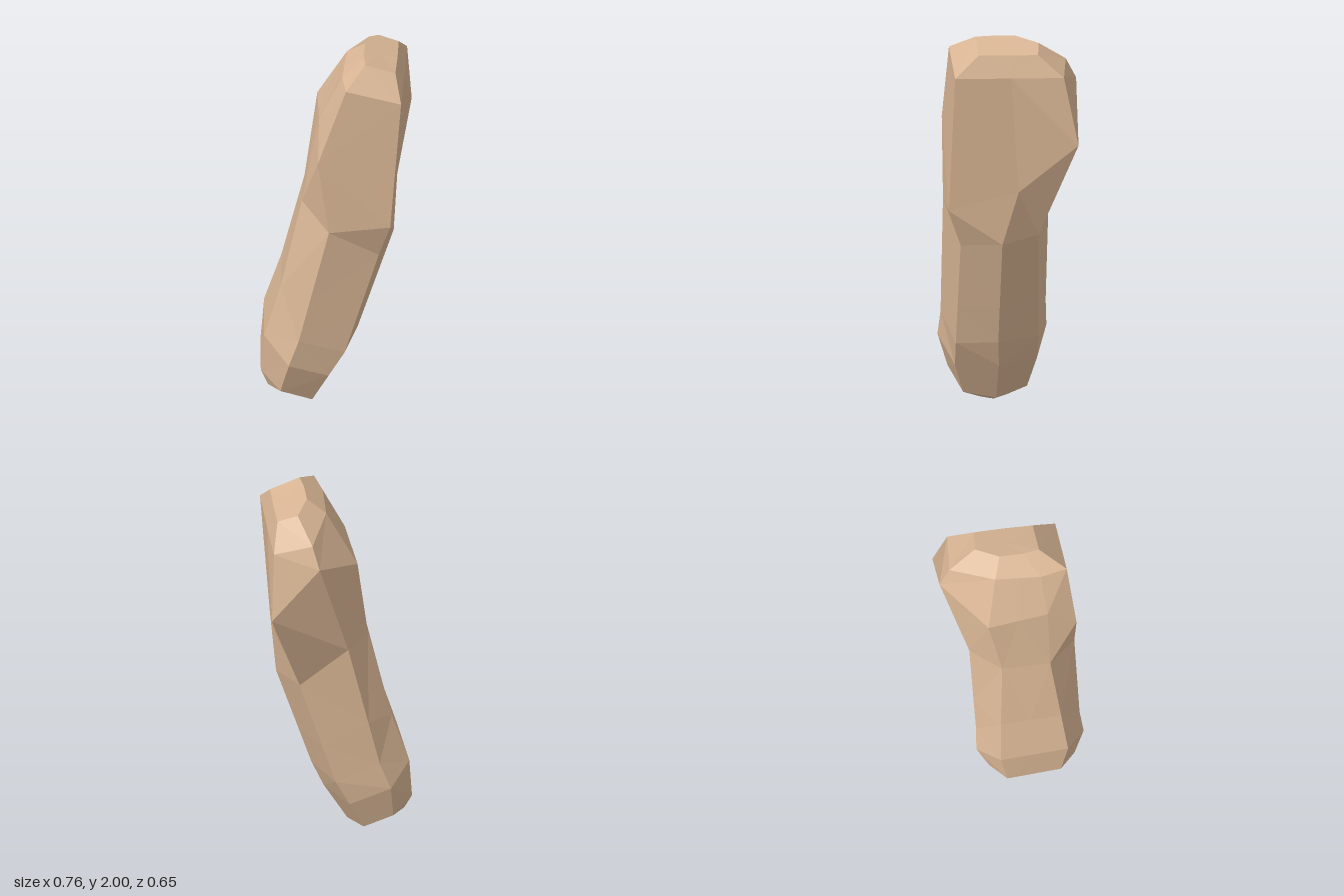
import * as THREE from 'three';

// Lengthwise ridges of the limb, each running from the bottom rim to the top rim
const outerFront = [[-.13, .05, .21], [-.05, .22, .26], [.03, .36, .265], [.2, .93, .26], [.255, 1.13, .325], [.31, 1.84, .3], [.285, 1.95, .18]];
const outerMid = [[-.08, .03, .05], [.04, .24, .05], [.1, .38, .06], [.28, .95, .06], [.3, 1.23, -.02], [.335, 1.84, .02], [.3, 1.95, .03]];
const outerBack = [[-.13, .07, -.11], [-.05, .24, -.15], [.02, .38, -.15], [.2, .97, -.13], [.38, 1.49, -.31], [.355, 1.84, -.24], [.31, 1.95, -.115]];
const back = [[-.27, .15, -.16], [-.245, .35, -.22], [-.19, .5, -.21], [-.03, 1.2, -.21], [.14, 1.77, -.325], [.165, 1.88, -.27], [.21, 1.98, -.13]];
const innerBack = [[-.345, .13, -.07], [-.38, .21, -.09], [-.36, .44, -.12], [-.16, 1.2, -.07], [-.095, 1.65, -.125], [.05, 1.93, -.06], [.14, 2, -.02]];
const innerFront = [[-.35, .12, .17], [-.385, .21, .18], [-.37, .44, .22], [-.18, 1.2, .17], [-.095, 1.68, .175], [.02, 1.92, .165], [.13, 2, .1]];
const front = [[-.29, .14, .27], [-.25, .32, .325], [-.2, .46, .315], [-.05, 1.1, .32], [-.105, 1.51, .32], [.035, 1.92, .3], [.135, 2, .18]];

const toPoints = (path) => path.map((p) => new THREE.Vector3(...p));

function loft(ridges, bottomTip) {
  const n = ridges.length;
  const rings = ridges[0].map((_, i) => ridges.map((r) => r[i]));
  const out = [];
  const tri = (...pts) => pts.forEach((p) => out.push(p.x, p.y, p.z));

  // Side walls, each quad split along its shorter diagonal
  for (let i = 0; i < rings.length - 1; i++) {
    for (let j = 0; j < n; j++) {
      const k = (j + 1) % n;
      const a = rings[i][j], b = rings[i][k], c = rings[i + 1][k], d = rings[i + 1][j];
      if (a.distanceTo(c) < b.distanceTo(d)) {
        tri(a, b, c);
        tri(a, c, d);
      } else {
        tri(a, b, d);
        tri(b, c, d);
      }
    }
  }

  // End caps
  const top = rings[rings.length - 1];
  const topCentre = top.reduce((s, p) => s.add(p), new THREE.Vector3()).divideScalar(n);
  for (let j = 0; j < n; j++) {
    const k = (j + 1) % n;
    tri(topCentre, top[j], top[k]);
    tri(bottomTip, rings[0][k], rings[0][j]);
  }

  const geometry = new THREE.BufferGeometry();
  geometry.setAttribute('position', new THREE.Float32BufferAttribute(out, 3));
  geometry.computeVertexNormals();
  return geometry;
}

export function createModel() {
  const inBack = toPoints(innerBack);
  const inFront = toPoints(innerFront);
  const inMid = inBack.map((p, i) => p.clone().lerp(inFront[i], 0.5));
  const ridges = [
    toPoints(outerFront), toPoints(outerMid), toPoints(outerBack), toPoints(back),
    inBack, inMid, inFront, toPoints(front),
  ];

  const tip = new THREE.Vector3(-0.16, 0, 0.06);
  ridges.forEach((r, j) => {
    // Narrow waist above the lower bulge, pinched on the inner side
    const waist = r[2].clone().lerp(r[3], 0.36);
    if (j >= 4 && j <= 6) waist.x += 0.014;
    r.splice(3, 0, waist);
    // Small ring rounding off the bottom end
    r.unshift(r[0].clone().lerp(tip, 0.6));
    r[0].y *= 0.8;
  });

  const material = new THREE.MeshStandardMaterial({ color: 0xd8b594, flatShading: true });
  const limb = new THREE.Mesh(loft(ridges, tip), material);
  limb.name = 'limb';

  const group = new THREE.Group();
  group.name = 'limbSegment';
  group.add(limb);
  return group;
}
